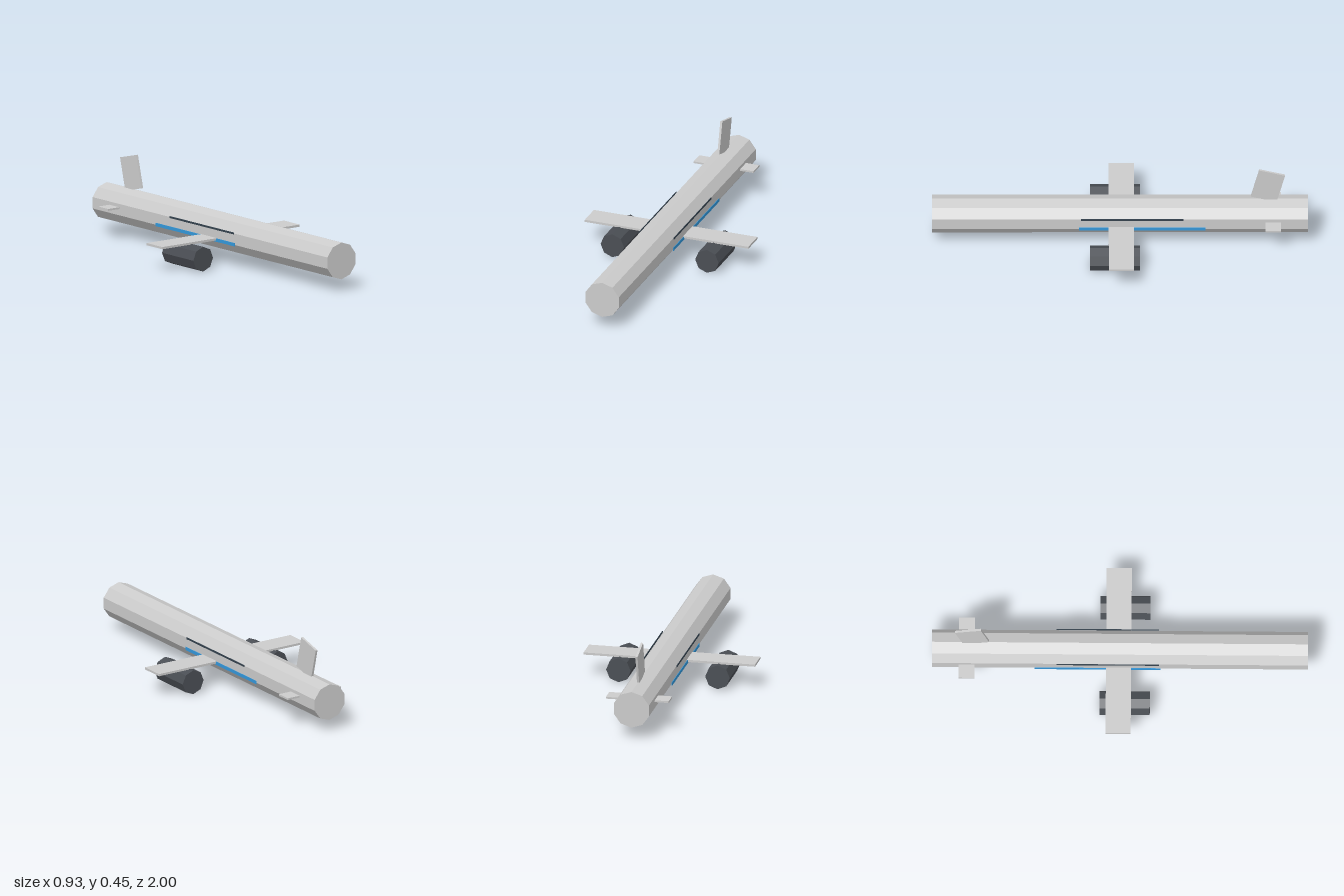
import * as THREE from 'three';

const material = (color) => new THREE.MeshStandardMaterial({ color, flatShading: true });

export function createModel() {
  const model = new THREE.Group();
  model.name = 'airliner';
  const grey = material(0xcccccc);
  const dark = material(0x4a4e54);
  const glass = material(0x34424e);
  const blue = material(0x3498db);

  function add(name, geometry, mat, x, y, z) {
    const mesh = new THREE.Mesh(geometry, mat);
    mesh.name = name;
    mesh.position.set(x, y, z);
    model.add(mesh);
    return mesh;
  }
  const box = (w, h, d) => new THREE.BoxGeometry(w, h, d);
  // Prism lying along z with one corner pointing straight up
  const tube = (radius, length, sides) =>
    new THREE.CylinderGeometry(radius, radius, length, sides).rotateX(Math.PI / 2);

  // Ten-sided body
  add('fuselage', tube(0.1, 2, 10), grey, 0, 0.16, 0);

  // Straight wing and tailplane run through the body
  add('wing', box(0.934, 0.012, 0.134), grey, 0, 0.136, -0.007);
  add('tailplane', box(0.342, 0.01, 0.084), grey, 0, 0.168, -0.815);

  // Fin leaning backwards
  const fin = add('tailFin', box(0.012, 0.18, 0.142), grey, 0, 0.346, -0.787);
  fin.rotation.x = -0.25;

  // Engines and side stripes, mirrored
  for (const [side, s] of [['left', 1], ['right', -1]]) {
    add(side + 'Engine', tube(0.067, 0.267, 8), dark, s * 0.27, 0.067, 0.027);
    add(side + 'WindowStrip', box(0.003, 0.01, 0.545), glass, s * 0.0995, 0.192, -0.065);
    add(side + 'BlueStripe', box(0.003, 0.018, 0.672), blue, s * 0.0995, 0.132, -0.119);
  }
  return model;
}
